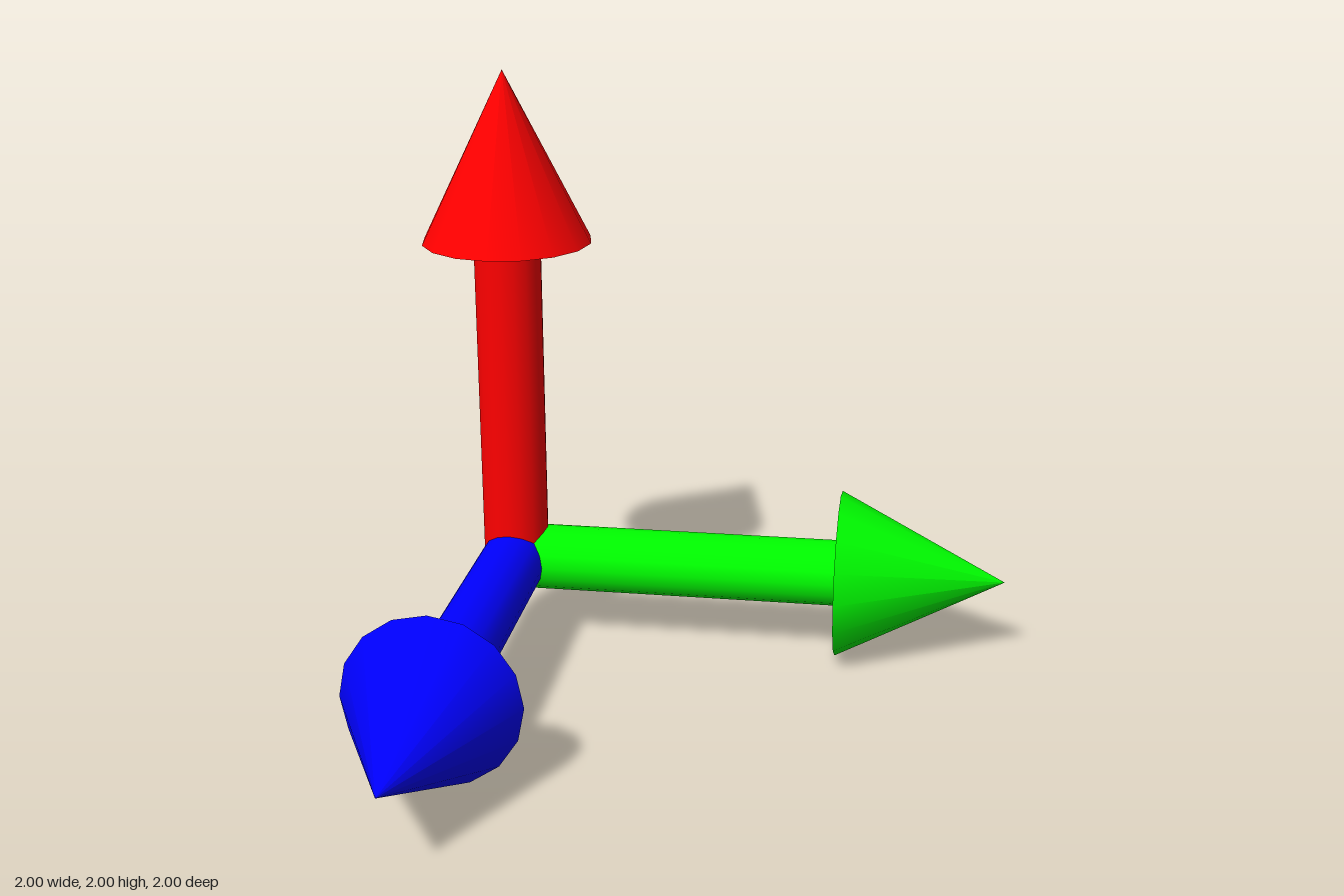
import * as THREE from 'three';

const LENGTH = 1.714;       // origin to tip
const HEAD_LENGTH = 0.571;
const HEAD_RADIUS = 0.286;
const SHAFT_RADIUS = 0.114;
const SIDES = 16;

// One arrow standing on its origin and pointing along +y
function makeArrow(name, color) {
  const material = new THREE.MeshStandardMaterial({ color });
  const arrow = new THREE.Group();
  arrow.name = name;

  const shaftLength = LENGTH - HEAD_LENGTH;
  const shaft = new THREE.Mesh(
    new THREE.CylinderGeometry(SHAFT_RADIUS, SHAFT_RADIUS, shaftLength, SIDES), material);
  shaft.name = name + 'Shaft';
  shaft.position.y = shaftLength / 2;

  const head = new THREE.Mesh(
    new THREE.ConeGeometry(HEAD_RADIUS, HEAD_LENGTH, SIDES), material);
  head.name = name + 'Head';
  head.position.y = LENGTH - HEAD_LENGTH / 2;

  arrow.add(shaft, head);
  return arrow;
}

export function createModel() {
  const model = new THREE.Group();
  model.name = 'axisArrows';

  const up = makeArrow('upArrow', 0xff0000);
  const side = makeArrow('sideArrow', 0x00ff00);
  side.rotation.z = -Math.PI / 2;   // points along +x
  const front = makeArrow('frontArrow', 0x0000ff);
  front.rotation.x = Math.PI / 2;   // points along +z

  // All three arrows share one corner
  for (const arrow of [up, side, front]) {
    arrow.position.set(HEAD_RADIUS - 1, HEAD_RADIUS, HEAD_RADIUS - 1);
    model.add(arrow);
  }
  return model;
}
